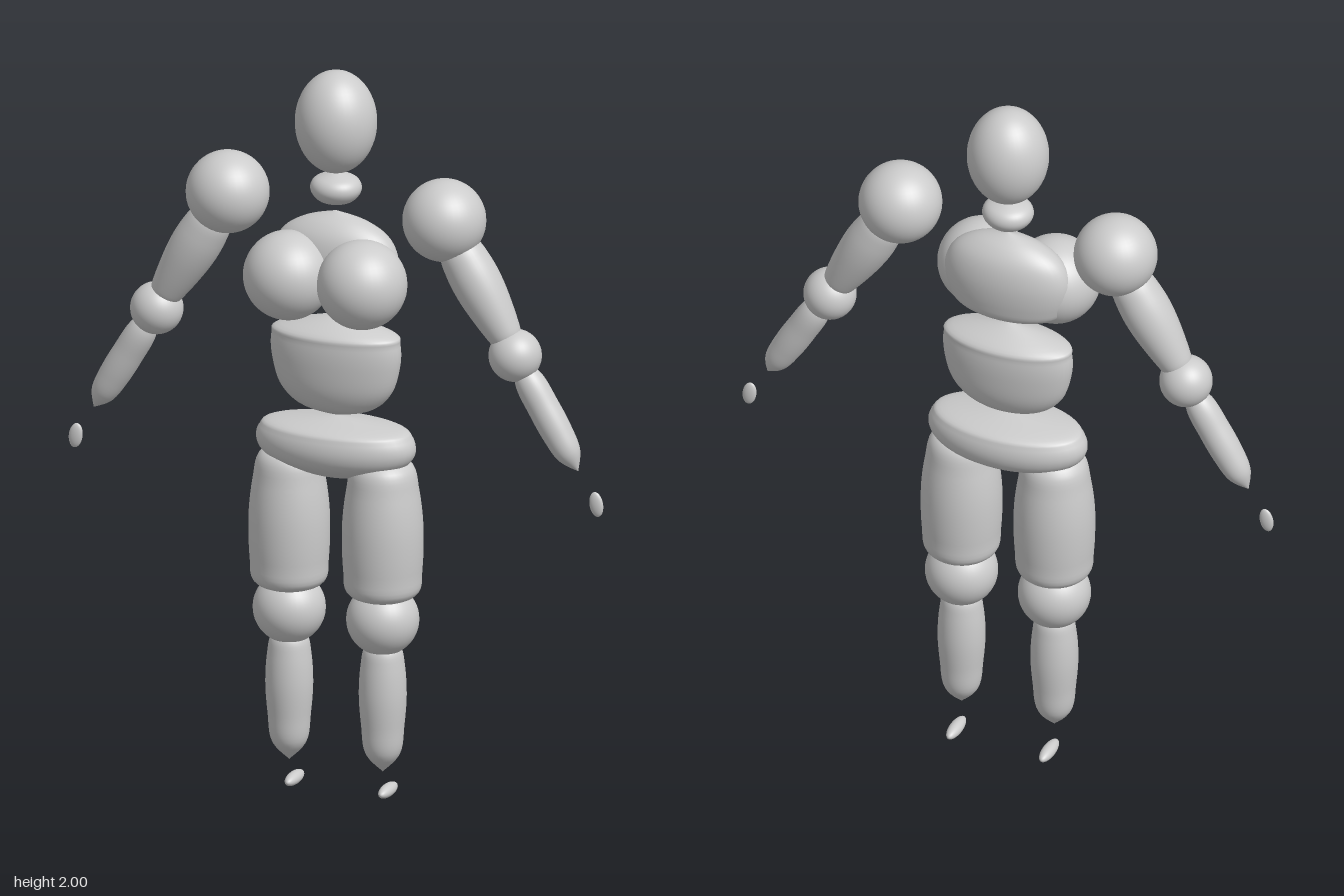
import * as THREE from 'three';

const Z = -0.036; // depth of the body's centre line

export function createModel() {
  const model = new THREE.Group();
  const material = new THREE.MeshStandardMaterial({ color: 0xcccccc });

  const add = (name, geometry, x, y, z = Z) => {
    const mesh = new THREE.Mesh(geometry, material);
    mesh.name = name;
    mesh.position.set(x, y, z);
    model.add(mesh);
    return mesh;
  };

  const ball = (name, x, y, z, rx, ry = rx, rz = rx) => {
    const mesh = add(name, new THREE.SphereGeometry(1, 40, 28), x, y, z);
    mesh.scale.set(rx, ry, rz);
    return mesh;
  };

  // turned shape from [radius, height] pairs, bottom to top
  const turned = (points) => {
    const curve = new THREE.SplineCurve(points.map(([r, y]) => new THREE.Vector2(r, y)));
    const profile = curve.getPoints(32).map((p) => new THREE.Vector2(Math.max(p.x, 0), p.y));
    return new THREE.LatheGeometry(profile, 40);
  };

  const torsoPart = (name, points, depth) => {
    add(name, turned(points), 0, 0).scale.z = depth;
  };

  // limb from a to b; profile is [radius, fraction along the limb]
  const limb = (name, a, b, points) => {
    const from = new THREE.Vector3(a[0], a[1], 0);
    const dir = new THREE.Vector3(b[0], b[1], 0).sub(from);
    const length = dir.length();
    const mesh = add(name, turned(points.map(([r, t]) => [r, t * length])), a[0], a[1]);
    mesh.quaternion.setFromUnitVectors(new THREE.Vector3(0, 1, 0), dir.normalize());
  };

  // head and torso
  ball('head', 0, 1.861, Z, 0.108, 0.139, 0.108);
  torsoPart('neck', [[0, 1.635], [0.045, 1.645], [0.068, 1.675], [0.055, 1.705], [0, 1.725]], 0.95);
  torsoPart('chest', [[0, 1.35], [0.13, 1.375], [0.165, 1.42], [0.175, 1.49], [0.15, 1.55], [0.09, 1.59], [0, 1.616]], 0.49);
  torsoPart('waist', [[0, 1.05], [0.1, 1.075], [0.155, 1.125], [0.178, 1.2], [0.179, 1.26], [0.16, 1.29], [0, 1.333]], 0.48);
  torsoPart('hips', [[0, 0.875], [0.1, 0.895], [0.19, 0.928], [0.22, 0.965], [0.212, 1.005], [0.175, 1.028], [0, 1.05]], 0.53);

  for (const [label, s] of [['left', 1], ['right', -1]]) {
    // bust and arms
    ball(label + 'Breast', s * 0.104, 1.447, 0.039, 0.119);
    ball(label + 'Shoulder', s * 0.306, 1.628, Z, 0.11);
    limb(label + 'UpperArm', [s * 0.5, 1.294], [s * 0.32, 1.6],
      [[0, 0], [0.036, 0.07], [0.05, 0.2], [0.064, 0.48], [0.064, 0.7], [0.05, 0.88], [0, 1]]);
    ball(label + 'Elbow', s * 0.506, 1.28, Z, 0.07);
    limb(label + 'Forearm', [s * 0.684, 0.982], [s * 0.506, 1.28],
      [[0, 0], [0.032, 0.14], [0.041, 0.33], [0.042, 0.55], [0.037, 0.8], [0, 1]]);
    ball(label + 'Hand', s * 0.735, 0.897, Z, 0.019, 0.034, 0.01).rotation.z = s * 0.15;

    // legs
    const x = s * 0.132;
    limb(label + 'Thigh', [x, 0.55], [x, 0.96],
      [[0, 0], [0.09, 0.06], [0.104, 0.22], [0.107, 0.5], [0.096, 0.75], [0.076, 0.93], [0, 1]]);
    ball(label + 'Knee', x, 0.502, Z, 0.096);
    limb(label + 'Shin', [x, 0.08], [x, 0.45],
      [[0, 0], [0.046, 0.14], [0.057, 0.35], [0.063, 0.58], [0.058, 0.8], [0.045, 0.94], [0, 1]]);
    ball(label + 'Foot', x, 0.017, Z * 2, 0.018, 0.017, 0.052);
  }
  return model;
}
